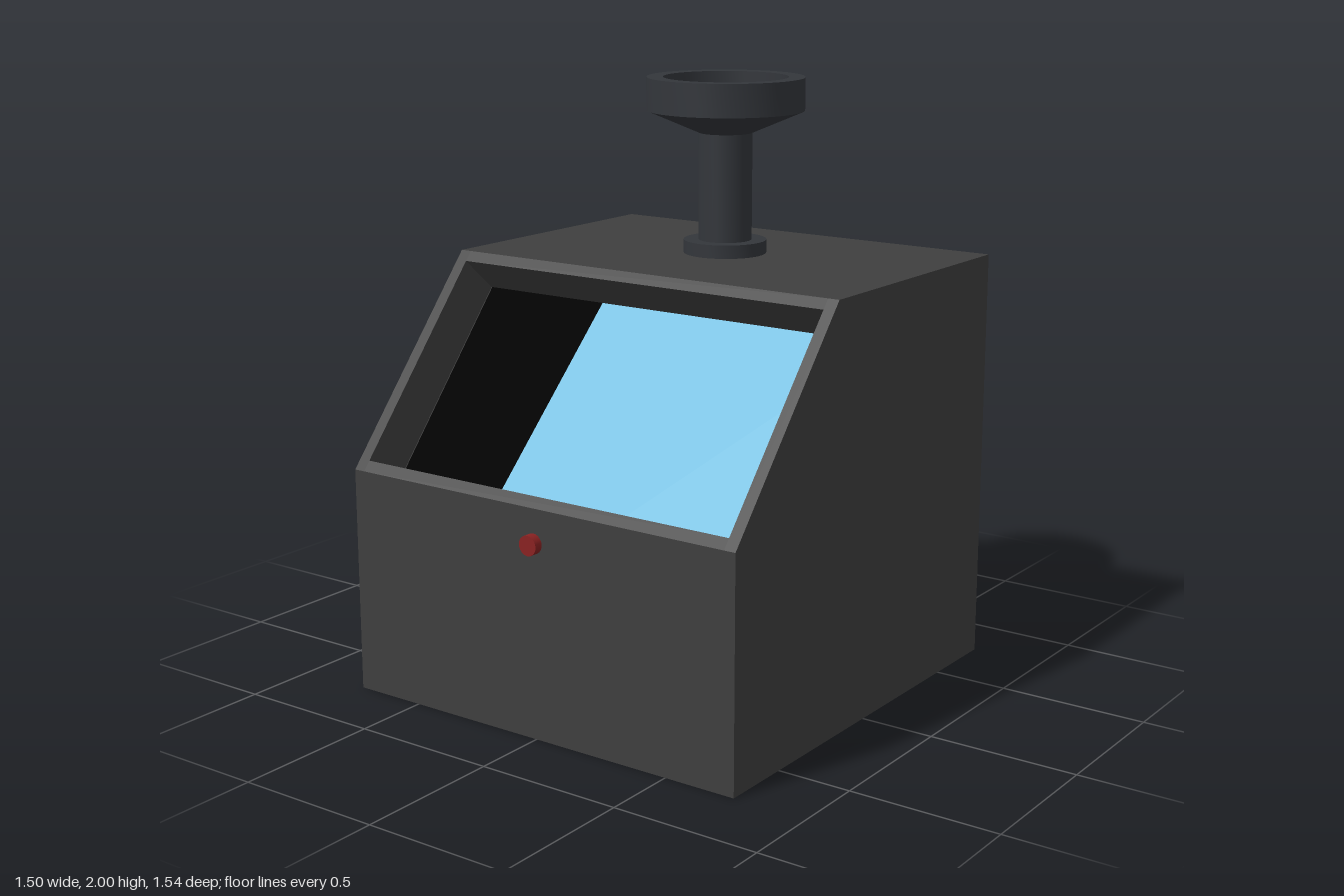
import * as THREE from 'three';
import { toCreasedNormals } from 'three/addons/utils/BufferGeometryUtils.js';

const mat = (color, side = THREE.FrontSide) => new THREE.MeshStandardMaterial({ color, side });

// Extrudes a [z, y] outline across the width, from x0 to x1
function acrossX(points, x0, x1) {
  const shape = new THREE.Shape(points.map(([z, y]) => new THREE.Vector2(z, y)));
  const geo = new THREE.ExtrudeGeometry(shape, { depth: x1 - x0, bevelEnabled: false });
  return geo.rotateY(-Math.PI / 2).translate(x1, 0, 0);
}

export function createModel() {
  const group = new THREE.Group();
  const dark = mat(0x3f3f3f), black = mat(0x080808);
  const metal = mat(0x33363b), metalOpen = mat(0x33363b, THREE.DoubleSide);
  const add = (name, geo, material) => {
    const mesh = new THREE.Mesh(geo, material);
    mesh.name = name;
    group.add(mesh);
    return mesh;
  };

  // Main dimensions of the hollow case
  const W = 0.75, T = 0.04, IN = W - T;
  const front = 0.745, back = -0.77, top = 1.41, lip = 0.76, slopeTop = 0.195;
  const len = Math.hypot(front - slopeTop, top - lip);
  const up = [(slopeTop - front) / len, (top - lip) / len]; // along the sloped face
  const inward = [-up[1], up[0]];                           // into the case
  const depth = 0.17;
  // Point at distance s up the slope and d beneath it
  const onSlope = (s, d) => [
    front + up[0] * s + inward[0] * d,
    lip + up[1] * s - Math.abs(inward[1]) * d,
  ];

  // Side walls
  const profile = [[back, 0], [front, 0], [front, lip], [slopeTop, top], [back, top]];
  for (const s of [-1, 1]) {
    const x0 = s < 0 ? -W : IN;
    add(s < 0 ? 'rightWall' : 'leftWall', acrossX(profile, x0, x0 + T), dark);
  }

  // Front, floor, back and roof in one folded sheet
  add('caseShell', acrossX([
    [front, lip], [front - T, lip - 0.04], [front - T, T], [back + T, T],
    [back + T, top - T], [slopeTop - 0.03, top - T], [slopeTop, top],
    [back, top], [back, 0], [front, 0],
  ], -IN, IN), dark);

  // Deep rims along the bottom and top of the window
  const rim = 0.04;
  for (const [name, a, b] of [['windowSill', 0, rim], ['windowHead', len - rim, len]]) {
    add(name, acrossX([onSlope(a, 0), onSlope(a, depth), onSlope(b, depth), onSlope(b, 0)], -IN, IN), dark);
  }

  // Black lining behind the window rims
  const lining = [[back + T, T], [front - T, T], [front - T, 0.65],
    onSlope(0, depth), onSlope(len, depth), [slopeTop - 0.13, top - T], [back + T, top - T]];
  for (const s of [-1, 1]) {
    const x0 = s < 0 ? -IN : IN - 0.003;
    add('sideLining', acrossX(lining, x0, x0 + 0.003), black);
  }
  add('floorLining', new THREE.BoxGeometry(2 * IN, 0.004, front - back - 2 * T), black)
    .position.set(0, T + 0.002, (front + back) / 2);

  // Slanted screen, from the floor near the front up to the back wall
  add('screen', acrossX([[0.565, 0.045], [-0.73, 1.306], [-0.73, 1.295], [0.55, 0.045]],
    -IN + 0.003, IN - 0.003), mat(0x74bfe0));

  // Open funnel on a hollow post
  const funnel = [[0.09, 1.41], [0.09, 1.815], [0.265, 1.89], [0.265, 2], [0.21, 2],
    [0.21, 1.91], [0.088, 1.82], [0.088, 1.41]].map(([r, y]) => new THREE.Vector2(r, y));
  add('funnel', toCreasedNormals(new THREE.LatheGeometry(funnel, 40), 0.5), metalOpen)
    .position.z = -0.295;

  // Flange at the foot of the post
  const flange = [[0.09, 1.41], [0.14, 1.41], [0.14, 1.455], [0.09, 1.455]]
    .map(([r, y]) => new THREE.Vector2(r, y));
  add('postFlange', toCreasedNormals(new THREE.LatheGeometry(flange, 40), 0.5), metal)
    .position.z = -0.295;

  // Front button
  add('button', new THREE.CylinderGeometry(0.033, 0.033, 0.03, 24).rotateX(Math.PI / 2), mat(0x8a2222))
    .position.set(0, 0.647, front + 0.015);

  return group;
}
